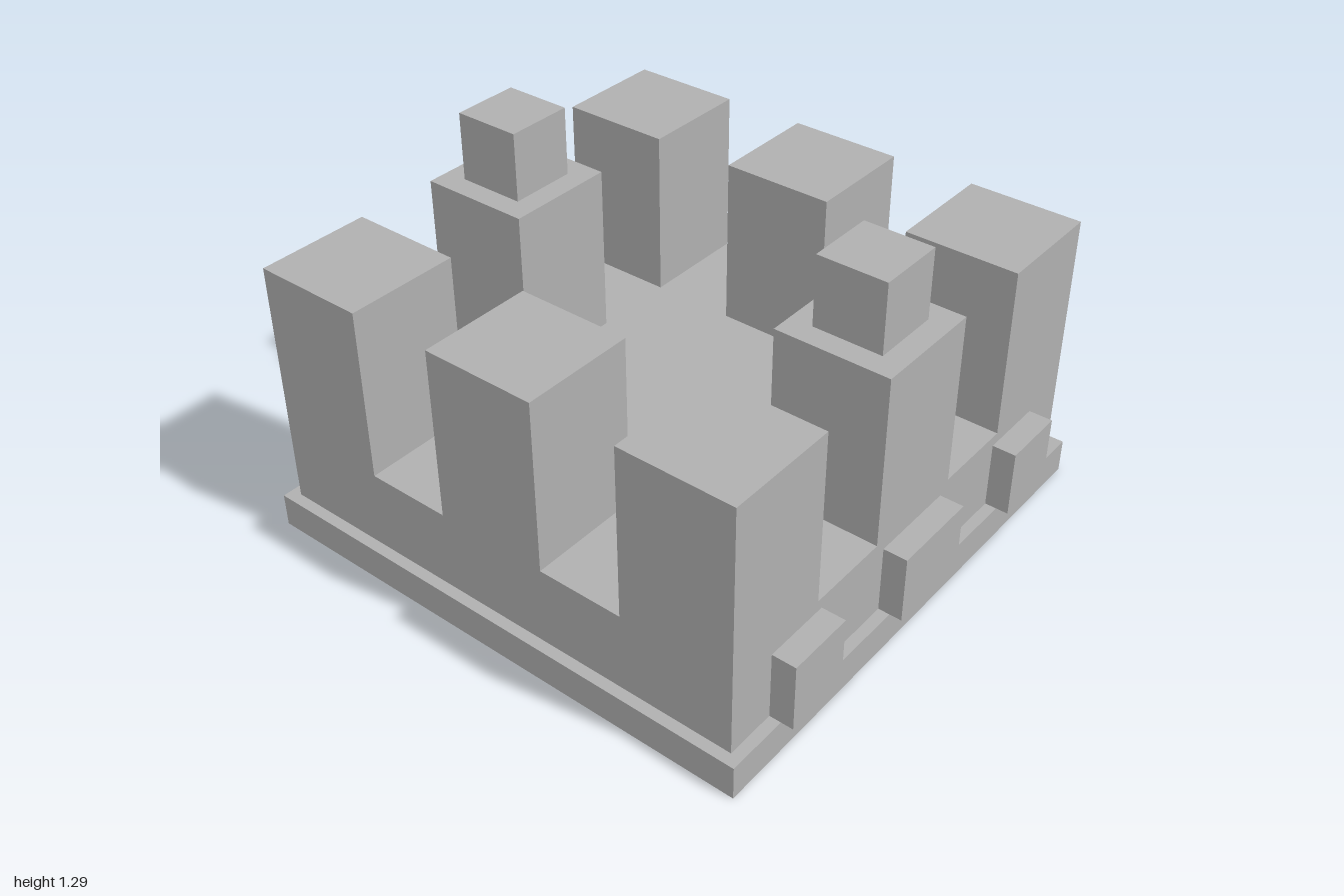
import * as THREE from 'three';

export function createModel() {
  const model = new THREE.Group();
  model.name = 'towerBlock';

  const stone = new THREE.MeshStandardMaterial({ color: 0xb0b0b0 });
  stone.name = 'stone grey';

  // Box given by its extents on each axis
  function block(name, [x0, x1], [y0, y1], [z0, z1]) {
    const mesh = new THREE.Mesh(new THREE.BoxGeometry(x1 - x0, y1 - y0, z1 - z0), stone);
    mesh.position.set((x0 + x1) / 2, (y0 + y1) / 2, (z0 + z1) / 2);
    mesh.name = name;
    model.add(mesh);
  }
  const around = (centre, size) => [centre - size / 2, centre + size / 2];

  const plinthTop = 0.125, bodyTop = 0.415, towerTop = 1.043, capTop = 1.295;
  const midZ = -0.0225; // the front blocks push the main mass slightly back

  // Plinth and solid body
  block('plinth', around(0, 1.955), [0, plinthTop], around(midZ, 1.955));
  block('body', around(0, 1.872), [plinthTop, bodyTop], around(midZ, 1.872));

  // Ring of eight towers with an open centre
  const towerSize = 0.415, spacing = 0.7285;
  for (const i of [-1, 0, 1]) {
    for (const k of [-1, 0, 1]) {
      if (i === 0 && k === 0) continue;
      const x = i * spacing, z = midZ + k * spacing;
      block('tower', around(x, towerSize), [bodyTop, towerTop], around(z, towerSize));
      // Cap blocks on the middle front and back towers
      if (i === 0) block('towerCap', around(x, 0.25), [towerTop, capTop], around(z, 0.25));
    }
  }

  // Low blocks along the front wall
  for (const [x, width] of [[-0.625, 0.25], [0, 0.333], [0.625, 0.25]]) {
    block('frontBlock', around(x, width), [plinthTop, 0.375], [0.9135, 1]);
  }

  return model;
}
